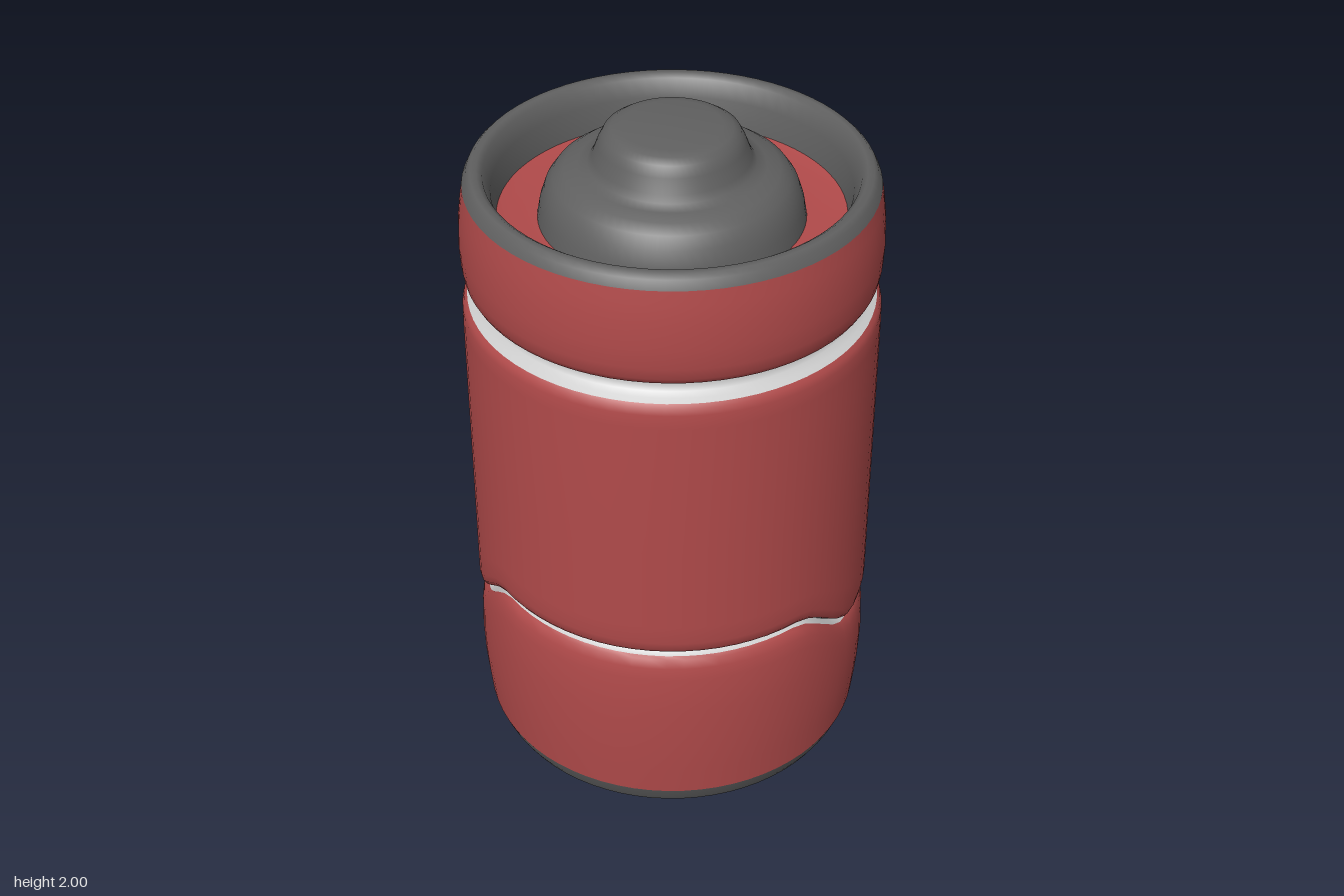
import * as THREE from 'three';
import { mergeVertices, toCreasedNormals } from 'three/addons/utils/BufferGeometryUtils.js';

const SEGMENTS = 72;
const red = new THREE.MeshStandardMaterial({ color: 0xb04a4a });
const dark = new THREE.MeshStandardMaterial({ color: 0x606060 });
const grey = new THREE.MeshStandardMaterial({ color: 0xcccccc });

const { smoothstep, clamp, degToRad, radToDeg } = THREE.MathUtils;

// Straight slope from a to b with softened ends
const slope = (v, a, b) => (smoothstep(v, a, b) + clamp((v - a) / (b - a), 0, 1)) / 2;
// 1 between b and c, fading to 0 at a and d
const plateau = (v, a, b, c, d) => slope(v, a, b) * (1 - slope(v, c, d));
const ramp = (v, a, b, c, d) => clamp(Math.min((v - a) / (b - a), (d - v) / (d - c)), 0, 1);

// Vertical shift that makes the two seams step around the body
function seamShift(x, y, z) {
  const deg = (radToDeg(Math.atan2(x, z)) + 360) % 360;
  const signed = deg > 200 ? deg - 360 : deg;
  const dip = -0.145 * plateau(deg, 153, 197, 280, 311);
  const rise = 0.153 * plateau(signed, -36, -11, 87, 112);
  return dip * ramp(y, 1.0, 1.42, 1.6, 1.84) + rise * ramp(y, 0.08, 0.37, 0.52, 1.0);
}

// Revolve a profile of [radius, height] pairs, then apply the stepped seams
function revolve(name, profile, material, stepped = false) {
  const points = profile.map(([r, y]) => new THREE.Vector2(r, y));
  let geometry = new THREE.LatheGeometry(points, SEGMENTS);
  geometry.deleteAttribute('uv');
  geometry.deleteAttribute('normal');
  if (stepped) {
    const p = geometry.attributes.position;
    for (let i = 0; i < p.count; i++) {
      const x = p.getX(i), y = p.getY(i), z = p.getZ(i);
      p.setY(i, y + seamShift(x, y, z));
    }
  }
  geometry = toCreasedNormals(mergeVertices(geometry, 1e-5), degToRad(50));
  const mesh = new THREE.Mesh(geometry, material);
  mesh.name = name;
  return mesh;
}

export function createModel() {
  const model = new THREE.Group();
  model.name = 'canister';

  model.add(
    // Bottom: recessed floor and dark rim
    revolve('bottomFloor', [[0, 0.135], [0.42, 0.135], [0.478, 0.13]], red),
    revolve('bottomRim', [
      [0.478, 0.13], [0.488, 0.08], [0.51, 0.02], [0.527, 0.003], [0.545, 0.004],
      [0.557, 0.025], [0.573, 0.065],
    ], dark),

    // Three painted bands with rounded edges at the seams
    revolve('lowerBand', [
      [0.573, 0.065], [0.58, 0.13], [0.586, 0.2], [0.589, 0.29], [0.586, 0.37],
      [0.58, 0.41], [0.571, 0.437], [0.563, 0.445],
    ], red, true),
    revolve('middleBand', [
      [0.545, 0.466], [0.562, 0.468], [0.576, 0.475], [0.585, 0.489], [0.59, 0.515], [0.59, 0.6],
      [0.59, 1.0], [0.59, 1.42], [0.589, 1.465], [0.584, 1.484], [0.575, 1.494],
    ], red, true),
    revolve('upperBand', [
      [0.536, 1.545], [0.556, 1.549], [0.57, 1.557], [0.58, 1.575], [0.586, 1.61],
      [0.589, 1.67], [0.585, 1.75], [0.579, 1.8], [0.572, 1.842],
    ], red, true),

    // Light channels showing between the bands
    revolve('lowerSeam', [[0.563, 0.445], [0.55, 0.451], [0.543, 0.458], [0.545, 0.466]], grey, true),
    revolve('upperSeam', [
      [0.575, 1.494], [0.56, 1.502], [0.543, 1.512], [0.535, 1.525], [0.536, 1.545],
    ], grey, true),

    // Top: dark rim, recessed floor and stepped terminal
    revolve('topRim', [
      [0.572, 1.842], [0.56, 1.868], [0.548, 1.88], [0.53, 1.881], [0.515, 1.87],
      [0.495, 1.82], [0.482, 1.74],
    ], dark),
    revolve('topFloor', [[0.482, 1.74], [0.45, 1.732], [0.37, 1.73]], red),
    revolve('terminal', [
      [0.37, 1.73], [0.362, 1.775], [0.347, 1.82], [0.325, 1.852], [0.295, 1.873],
      [0.258, 1.882], [0.23, 1.892], [0.217, 1.912], [0.202, 1.952], [0.187, 1.981],
      [0.166, 1.995], [0.138, 2.0], [0, 2.0],
    ], dark),
  );

  return model;
}
